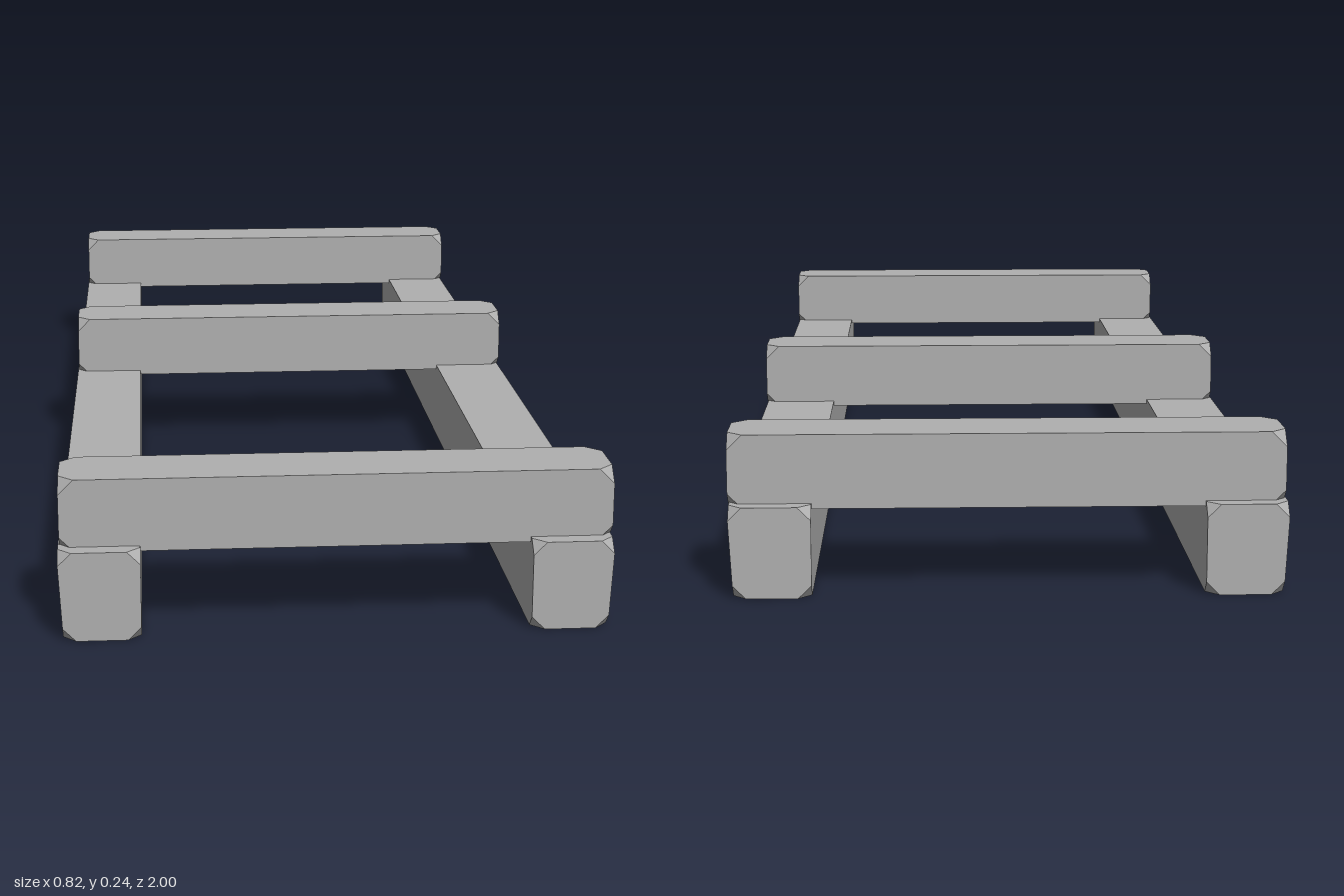
import * as THREE from 'three';
import { ConvexGeometry } from 'three/addons/geometries/ConvexGeometry.js';

// Timber between two corners, with its eight corners clipped off.
// taper pulls the outer bottom edge slightly inwards.
function beam(name, min, max, material, cut = 0.023, taper = 0) {
  const points = [];
  for (let i = 0; i < 8; i++) {
    const bits = [i & 1, (i >> 1) & 1, (i >> 2) & 1];
    const corner = bits.map((b, k) => (b ? max[k] : min[k]));
    const outer = Math.abs(corner[0]) > 0.35;
    if (outer && !bits[1]) corner[0] -= Math.sign(corner[0]) * taper;
    for (let k = 0; k < 3; k++) {
      const p = corner.slice();
      p[k] += bits[k] ? -cut : cut;
      points.push(new THREE.Vector3(...p));
    }
  }
  const mesh = new THREE.Mesh(new ConvexGeometry(points), material);
  mesh.name = name;
  return mesh;
}

export function createModel() {
  const group = new THREE.Group();
  group.name = 'timberFrame';
  const grey = new THREE.MeshStandardMaterial({ color: 0xb0b0b0 });
  grey.name = 'grey';

  // Two long rails on the ground
  group.add(beam('rightRail', [-0.413, 0.003, -1], [-0.292, 0.14, 1], grey, 0.02, 0.005));
  group.add(beam('leftRail', [0.288, 0.003, -1], [0.409, 0.14, 1], grey, 0.02, 0.005));

  // Three crossbars resting on the rails
  const bars = [['frontCrossbar', 0.915], ['middleCrossbar', -0.11], ['backCrossbar', -0.917]];
  for (const [name, z] of bars) {
    group.add(beam(name, [-0.411, 0.132, z - 0.058], [0.411, 0.243, z + 0.058], grey));
  }
  return group;
}
